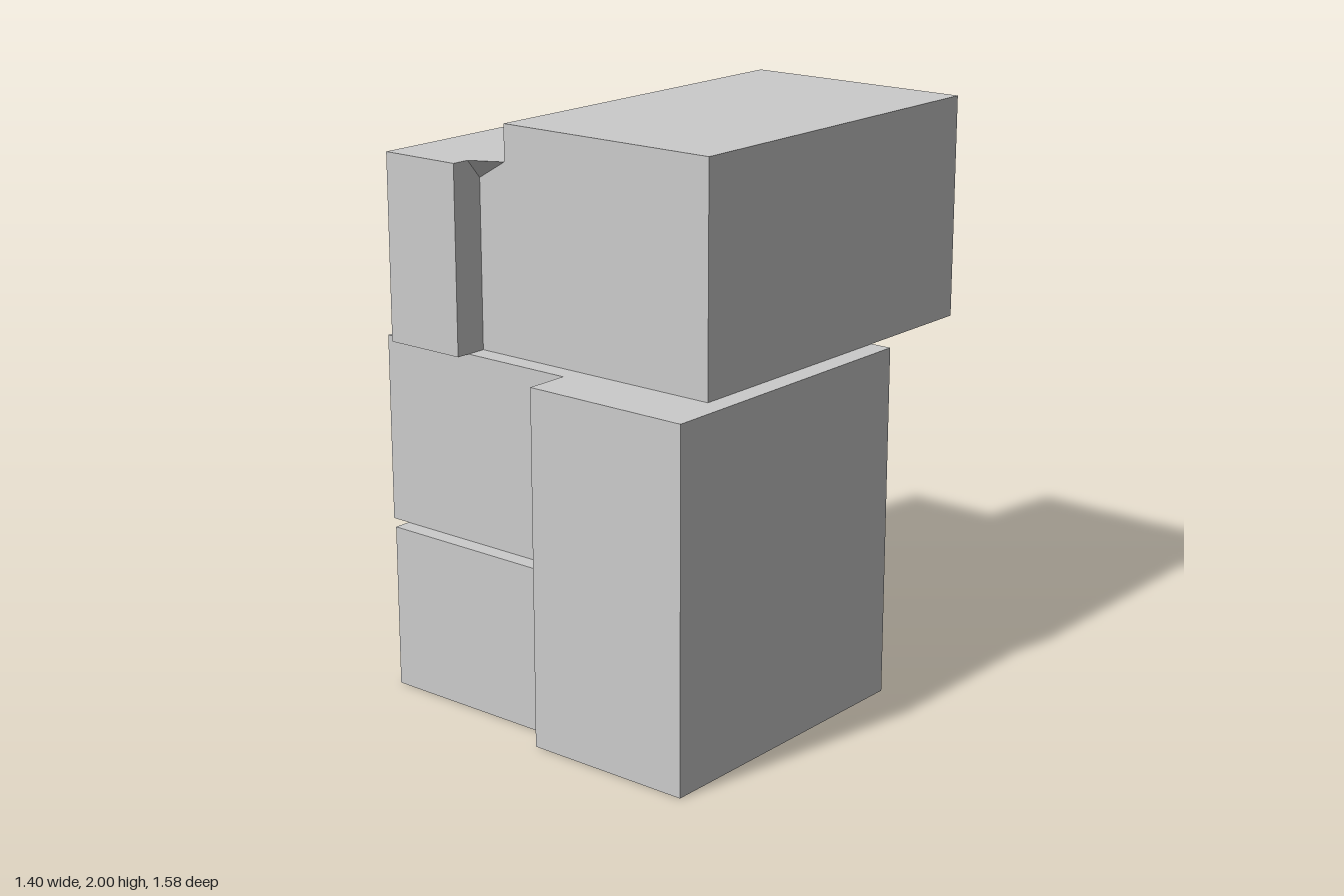
import * as THREE from 'three';
import { ConvexGeometry } from 'three/addons/geometries/ConvexGeometry.js';

const material = new THREE.MeshStandardMaterial({ color: 0xcccccc, flatShading: true });
const DEPTH = 0.07; // window recess depth

function add(parent, name, geometry) {
  const mesh = new THREE.Mesh(geometry, material);
  mesh.name = name;
  parent.add(mesh);
  return mesh;
}

// Box given by its limits on each axis
function box(parent, name, x0, x1, y0, y1, z0, z1) {
  const mesh = add(parent, name, new THREE.BoxGeometry(x1 - x0, y1 - y0, z1 - z0));
  mesh.position.set((x0 + x1) / 2, (y0 + y1) / 2, (z0 + z1) / 2);
  return mesh;
}

function rectangle(Type, x0, x1, y0, y1) {
  return new Type([[x0, y0], [x1, y0], [x1, y1], [x0, y1]].map(p => new THREE.Vector2(...p)));
}

// Wall plate with rectangular openings [x0, x1, y0, y1], and bars set across them
function facade(parent, name, [x0, x1, y0, y1], z, openings, bars) {
  const group = new THREE.Group();
  group.name = name;
  const shape = rectangle(THREE.Shape, x0, x1, y0, y1);
  shape.holes = openings.map(o => rectangle(THREE.Path, ...o));
  const plate = add(group, 'facadePlate',
    new THREE.ExtrudeGeometry(shape, { depth: DEPTH, bevelEnabled: false }));
  plate.position.z = z;
  bars.forEach(b => box(group, 'windowBar', ...b, z + 0.002, z + DEPTH));
  parent.add(group);
}

export function createModel() {
  const house = new THREE.Group();
  house.name = 'house';

  // Ground floor and tall side tower, open at the porch
  box(house, 'porchFloor', -0.63, 0.7, 0, 0.01, -0.315, 0.1);
  box(house, 'towerBody', 0.09, 0.7, 0, 1.23, 0.1, 0.785);
  box(house, 'towerSideWall', 0.56, 0.7, 0, 1.23, -0.315, 0.1);
  box(house, 'towerLintel', 0.22, 0.56, 1.17, 1.23, -0.315, 0.1);
  box(house, 'porchColumnWall', 0.22, 0.28, 0, 1.17, -0.315, 0.1);
  box(house, 'doorJamb', 0.16, 0.22, 0, 0.575, -0.157, 0.1);
  box(house, 'lowerBody', -0.63, 0.09, 0, 0.575, 0.1, 0.69);
  box(house, 'door', 0.09, 0.16, 0, 0.575, 0.08, 0.1);
  box(house, 'porchSideWall', -0.63, -0.57, 0, 0.575, -0.315, 0.1);
  box(house, 'porchRoom', -0.57, -0.14, 0, 0.575, -0.157 + DEPTH, 0.1);
  facade(house, 'porchWindowWall', [-0.57, -0.14, 0, 0.575], -0.157,
    [[-0.52, -0.25, 0.125, 0.52]],
    [[-0.39, -0.34, 0.125, 0.52], [-0.52, -0.25, 0.36, 0.41]]);

  // Middle storey, overhanging the porch
  box(house, 'middleBody', -0.7, 0.216, 0.575, 1.23, -0.555 + DEPTH, 0.63);
  facade(house, 'middleFacade', [-0.7, 0.216, 0.575, 1.23], -0.555,
    [[-0.625, 0, 0.64, 1.17], [0.001, 0.155, 0.66, 0.945]],
    [
      [-0.215, -0.16, 0.64, 1.17],
      [-0.215, 0, 0.945, 1.0],
      [-0.57, -0.16, 0.89, 0.945],
      [-0.59, -0.555, 0.64, 1.17],
      [-0.16, 0.155, 0.84, 0.87],
    ]);

  // Large upper block, cantilevered to the rear
  box(house, 'largeUpperBody', -0.215, 0.625, 1.23, 2, -0.79 + DEPTH, 0.56);
  facade(house, 'largeUpperFacade', [-0.215, 0.625, 1.23, 2], -0.79,
    [
      [0.285, 0.555, 1.285, 1.915],
      [-0.145, 0.218, 1.3, 1.57],
      [0.158, 0.218, 1.575, 1.915],
      [-0.145, -0.005, 1.64, 1.89],
    ],
    [
      [0.415, 0.555, 1.82, 1.87],
      [0.285, 0.555, 1.62, 1.67],
      [0.39, 0.43, 1.285, 1.64],
      [0.158, 0.218, 1.57, 1.575],
      [-0.145, -0.005, 1.81, 1.84],
      [0.135, 0.158, 1.3, 1.57],
    ]);

  // Small upper block with a stepped front corner
  box(house, 'smallUpperBody', -0.63, -0.215, 1.23, 1.875, -0.555 + DEPTH, 0.56);
  box(house, 'smallUpperFront', -0.63, -0.325, 1.23, 1.875, 0.56, 0.68);
  add(house, 'cornerWedge', new ConvexGeometry([
    [-0.325, 1.875, 0.56], [-0.325, 1.875, 0.615], [-0.215, 1.875, 0.56], [-0.325, 1.81, 0.56],
  ].map(p => new THREE.Vector3(...p))));
  facade(house, 'smallUpperFacade', [-0.63, -0.215, 1.23, 1.875], -0.555,
    [[-0.58, -0.26, 1.28, 1.82]],
    [
      [-0.555, -0.52, 1.28, 1.82],
      [-0.32, -0.285, 1.28, 1.82],
      [-0.58, -0.26, 1.68, 1.71],
      [-0.58, -0.26, 1.53, 1.6],
      [-0.44, -0.41, 1.28, 1.53],
    ]);

  return house;
}
